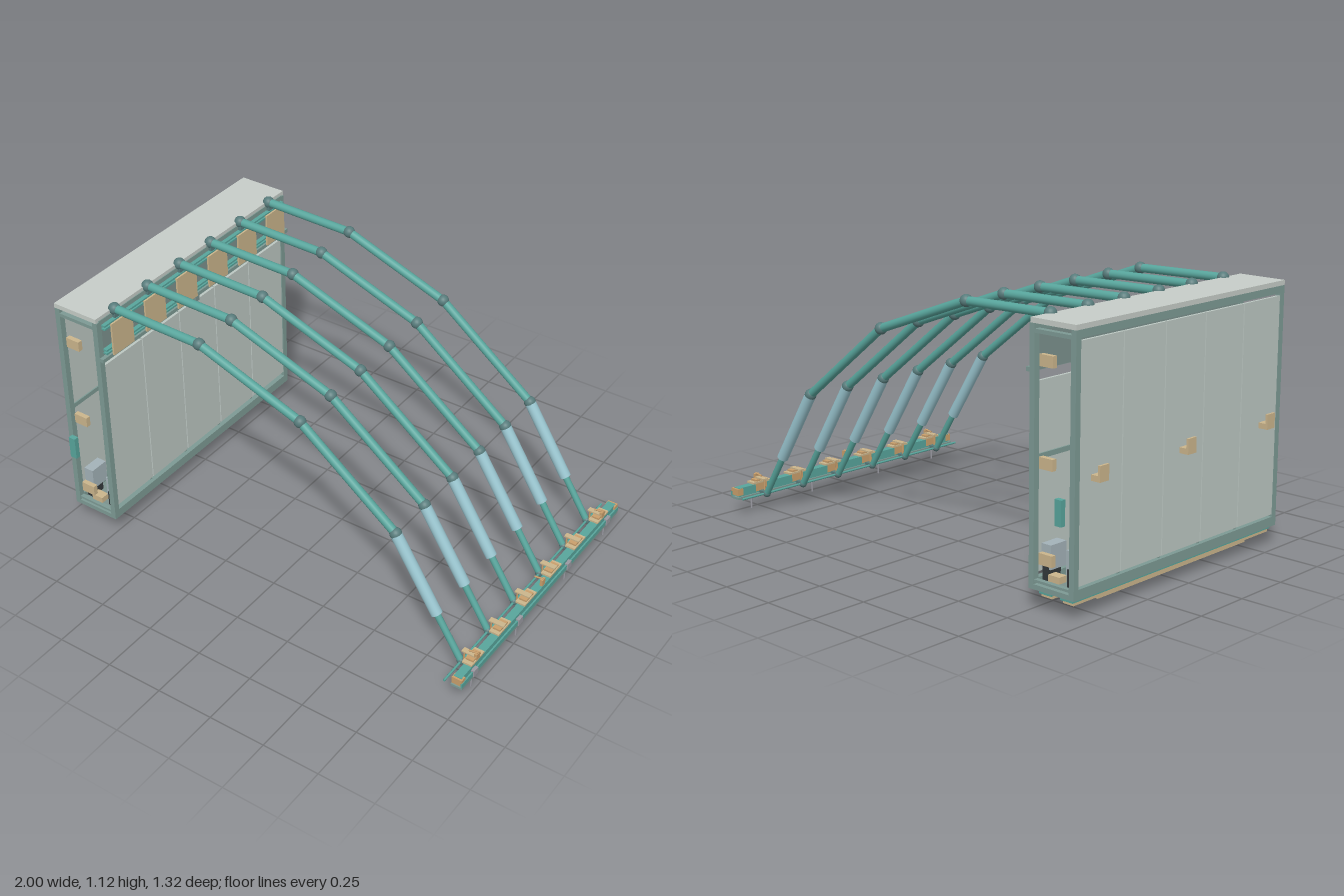
import * as THREE from 'three';

const mat = (color, extra = {}) => new THREE.MeshStandardMaterial({ color, ...extra });
const M = {
  teal: mat(0x58a59c), sleeve: mat(0x9ac6d0), joint: mat(0x587c7c), frame: mat(0x7d9a94),
  panel: mat(0xbcc7c2), cap: mat(0xc6cdc8), dark: mat(0x7c918d), tan: mat(0xcbb58c),
  orange: mat(0xc99f6c), grey: mat(0x9a9aa2), black: mat(0x33383a), motor: mat(0xa3b2b8),
};

export function createModel() {
  const root = new THREE.Group();
  root.name = 'foldingShelter';
  const group = (name) => {
    const g = new THREE.Group();
    g.name = name;
    root.add(g);
    return g;
  };
  // Box given by its min and max along each axis
  const box = (parent, name, m, x0, x1, y0, y1, z0, z1) => {
    const mesh = new THREE.Mesh(new THREE.BoxGeometry(x1 - x0, y1 - y0, z1 - z0), m);
    mesh.position.set((x0 + x1) / 2, (y0 + y1) / 2, (z0 + z1) / 2);
    mesh.name = name;
    parent.add(mesh);
    return mesh;
  };
  // Round bar between two points
  const bar = (parent, name, m, a, b, r, sides = 20) => {
    const p = new THREE.Vector3(...a), q = new THREE.Vector3(...b), d = q.clone().sub(p);
    const mesh = new THREE.Mesh(new THREE.CylinderGeometry(r, r, d.length(), sides), m);
    mesh.position.copy(p).add(q).multiplyScalar(0.5);
    mesh.quaternion.setFromUnitVectors(new THREE.Vector3(0, 1, 0), d.normalize());
    mesh.name = name;
    parent.add(mesh);
  };
  const ribZ = [-0.515, -0.31, -0.104, 0.104, 0.31, 0.515];
  const seams = [-0.603, -0.362, -0.12, 0.12, 0.362, 0.603];

  // Cabinet frame: posts, end bars and long rails
  const frame = group('cabinetFrame');
  for (const x of [-0.948, -0.752]) {
    const s = x < -0.85 ? -1 : 1;
    for (const z of [-0.612, 0.612])
      box(frame, 'cornerPost', M.frame, x - 0.012, x + 0.012, 0.085, 1.075, z - 0.013, z + 0.013);
    box(frame, 'bottomRail', M.frame, x - 0.012, x + 0.012, 0.08, 0.12, -0.625, 0.625);
    box(frame, 'topRail', M.frame, x - 0.012, x + 0.012, 1.045, 1.08, -0.61, 0.61);
    box(frame, 'midRail', M.frame, x - s * 0.004 - 0.008, x - s * 0.004 + 0.004, 0.57, 0.59, -0.61, 0.61);
  }
  for (const z of [-0.612, 0.612]) {
    box(frame, 'endSill', M.frame, -0.95, -0.75, 0.08, 0.1, z - 0.013, z + 0.013);
    box(frame, 'endStep', M.frame, -0.94, -0.76, 0.108, 0.118, z - 0.01, z + 0.01);
    box(frame, 'endHeader', M.frame, -0.95, -0.75, 1.04, 1.055, z - 0.013, z + 0.013);
  }
  box(frame, 'floor', M.dark, -0.94, -0.76, 0.085, 0.095, -0.6, 0.6);
  box(frame, 'roofCap', M.cap, -0.96, -0.744, 1.075, 1.095, -0.626, 0.626);

  // Wall panels with narrow gaps between them
  const walls = group('wallPanels');
  for (let i = 0; i < 5; i++) {
    const a = seams[i] + 0.003, b = seams[i + 1] - 0.003;
    box(walls, 'innerPanel', M.panel, -0.757, -0.745, 0.14, 0.86, a, b);
    box(walls, 'outerPanel', M.panel, -0.958, -0.946, 0.13, 1.035, a, b);
    if (i) for (const x of [-0.762, -0.944])
      box(walls, 'seamStrip', M.frame, x - 0.004, x + 0.004, 0.12, 0.9, seams[i] - 0.006, seams[i] + 0.006);
  }
  box(walls, 'centreLatch', M.dark, -0.755, -0.74, 0.855, 0.905, -0.012, 0.012);

  // Mounting band behind the rib brackets
  const band = group('mountingBand');
  box(band, 'bandPlate', M.dark, -0.756, -0.742, 0.9, 1.075, -0.605, 0.605);
  box(band, 'bandLedge', M.frame, -0.745, -0.722, 0.895, 0.912, -0.625, 0.625);
  for (const y of [0.925, 0.94, 1.04, 1.055])
    box(band, 'bandRail', M.teal, -0.742, -0.722, y - 0.004, y + 0.004, -0.6, 0.6);

  // Skids under the cabinet
  const skids = group('skids');
  for (const x of [-0.912, -0.808]) {
    box(skids, 'skidBeam', M.teal, x - 0.03, x + 0.03, 0.065, 0.08, -0.61, 0.61);
    box(skids, 'skidRunner', M.tan, x - 0.026, x + 0.026, 0.052, 0.066, -0.6, 0.6);
    box(skids, 'skidSole', M.tan, x - 0.018, x + 0.018, 0.04, 0.053, -0.455, 0.455);
  }

  // Fittings at both ends of the cabinet
  const fittings = group('endFittings');
  for (const s of [-1, 1]) {
    const side = (name, m, x0, x1, y0, y1, z0, z1) =>
      box(fittings, name, m, x0, x1, y0, y1, Math.min(s * z0, s * z1), Math.max(s * z0, s * z1));
    for (const y of [0.955, 0.58, 0.22])
      side('endLamp', M.tan, -0.882, -0.818, y - 0.022, y + 0.022, 0.637, 0.658);
    side('controlBox', M.teal, -0.928, -0.896, 0.362, 0.462, 0.639, 0.661);
    side('floorBlock', M.tan, -0.877, -0.823, 0.122, 0.148, 0.57, 0.61);
    for (const x of [-0.91, -0.79]) {
      side('driveUnit', M.motor, x - 0.023, x + 0.023, 0.155, 0.25, 0.5, 0.585);
      side('driveMount', M.black, x - 0.014, x + 0.014, 0.11, 0.18, 0.52, 0.59);
    }
  }
  for (const z of [0.43, 0.15, -0.37])
    box(fittings, 'floorBlock', M.tan, -0.877, -0.823, 0.1, 0.145, z - 0.02, z + 0.02);

  // Handles on the outer wall
  const handles = group('wallHandles');
  for (const z of [-0.51, 0, 0.51]) {
    box(handles, 'handleBase', M.tan, -0.99, -0.955, 0.515, 0.538, z - 0.025, z + 0.025);
    box(handles, 'handlePlate', M.tan, -1, -0.99, 0.515, 0.577, z - 0.025, z + 0.025);
  }

  // Jointed ribs, each with a bracket and a telescopic leg
  const path = [[-0.74, 1.092], [-0.315, 1.083], [0.16, 0.91], [0.6, 0.567], [0.795, 0.257], [0.912, 0.072]];
  const radii = [0.018, 0.018, 0.018, 0.024, 0.014];
  const ball = new THREE.SphereGeometry(0.025, 20, 14);
  ribZ.forEach((z) => {
    const rib = group('rib');
    box(rib, 'bracketPlate', M.tan, -0.712, -0.704, 0.915, 1.062, z - 0.063, z + 0.063);
    for (const y of [0.932, 1.047])
      box(rib, 'bracketArm', M.tan, -0.745, -0.71, y - 0.005, y + 0.005, z - 0.05, z + 0.05);
    box(rib, 'bracketNeck', M.joint, -0.756, -0.725, 1.045, 1.085, z - 0.016, z + 0.016);
    for (let i = 0; i < 5; i++) {
      const m = i === 3 ? M.sleeve : M.teal;
      bar(rib, i === 3 ? 'sleeve' : 'ribTube', m, [...path[i], z], [...path[i + 1], z], radii[i]);
      if (i === 4) continue;
      const j = new THREE.Mesh(ball, M.joint);
      j.name = 'ribJoint';
      j.position.set(...path[i], z);
      rib.add(j);
    }
    const foot = new THREE.Mesh(new THREE.SphereGeometry(0.017, 16, 12), M.joint);
    foot.name = 'footJoint';
    foot.position.set(0.912, 0.073, z);
    rib.add(foot);
    // Clamp joining the rib foot to the ground beam
    box(rib, 'footLink', M.joint, 0.91, 0.95, 0.067, 0.082, z - 0.012, z + 0.012);
    box(rib, 'clampPlate', M.tan, 0.943, 0.987, 0.116, 0.124, z - 0.048, z + 0.048);
    box(rib, 'clampBlock', M.orange, 0.948, 0.982, 0.08, 0.132, z - 0.03, z + 0.03);
    box(rib, 'clampArm', M.tan, 0.918, 0.985, 0.132, 0.138, z - 0.012, z + 0.012);
    bar(rib, 'clampPin', M.orange, [0.925, 0.08, z], [0.925, 0.136, z], 0.004, 8);
  });

  // Ground beam with rod, end caps and stakes
  const beam = group('groundBeam');
  box(beam, 'beamBody', M.teal, 0.95, 0.985, 0.073, 0.112, -0.635, 0.635);
  box(beam, 'beamFlange', M.frame, 0.944, 0.995, 0.064, 0.074, -0.645, 0.645);
  box(beam, 'beamLip', M.teal, 0.988, 0.995, 0.074, 0.095, -0.645, 0.645);
  bar(beam, 'tieRod', M.teal, [0.915, 0.073, -0.645], [0.915, 0.073, 0.645], 0.005, 10);
  for (const z of [-0.63, 0.63])
    box(beam, 'endCap', M.orange, 0.947, 0.992, 0.08, 0.11, z - 0.014, z + 0.014);
  for (const z of [-0.515, 0, 0.515]) {
    box(beam, 'hook', M.orange, 0.975, 0.987, 0.12, 0.15, z - 0.012, z + 0.012);
    bar(beam, 'hookBar', M.orange, [0.945, 0.145, z], [0.985, 0.151, z], 0.004, 8);
  }
  for (const z of [-0.548, -0.202, 0.202, 0.548]) {
    box(beam, 'stakeClip', M.grey, 0.975, 1, 0.07, 0.1, z - 0.016, z + 0.016);
    bar(beam, 'stake', M.grey, [0.98, 0, z], [0.98, 0.09, z], 0.004, 10);
  }
  return root;
}
